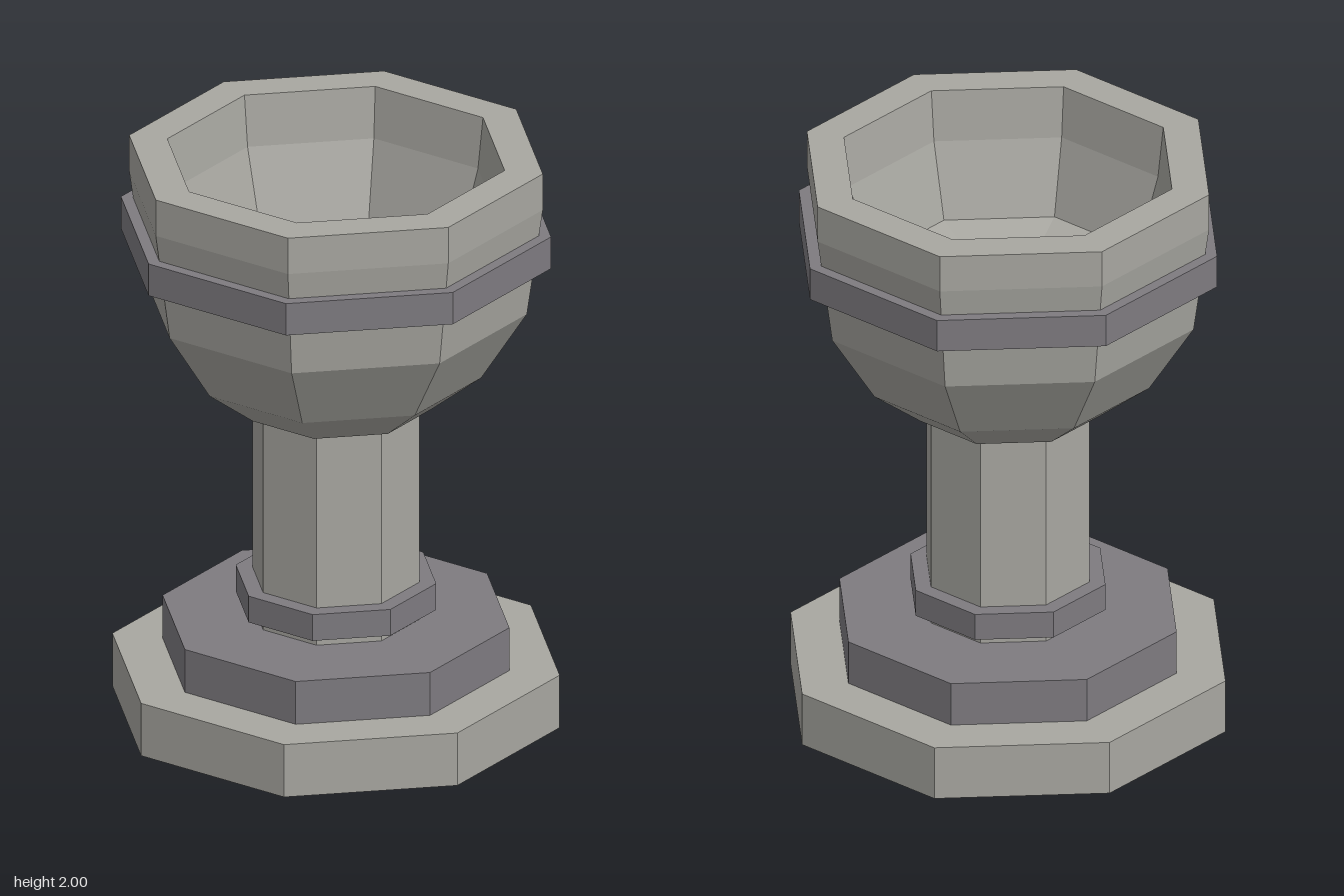
import * as THREE from 'three';

const SIDES = 8;
const TO_CORNER = 1 / Math.cos(Math.PI / SIDES); // flat-to-centre distance -> corner radius

const stone = new THREE.MeshStandardMaterial({ color: 0xa8a7a1 });
stone.name = 'paleStone';
const trim = new THREE.MeshStandardMaterial({ color: 0x7e7b80 });
trim.name = 'greyTrim';

// Faceted octagonal turning from a profile of [flat distance, height], flats facing the axes
function turned(name, material, profile) {
  const points = profile.map(([r, y]) => new THREE.Vector2(r * TO_CORNER, y));
  const geometry = new THREE.LatheGeometry(points, SIDES, Math.PI / SIDES).toNonIndexed();
  geometry.computeVertexNormals();
  const mesh = new THREE.Mesh(geometry, material);
  mesh.name = name;
  return mesh;
}

// Solid octagonal slab
const slab = (name, material, r, y0, y1) =>
  turned(name, material, [[0, y0], [r, y0], [r, y1], [0, y1]]);

export function createModel() {
  const group = new THREE.Group();
  group.name = 'goblet';

  group.add(
    // Stepped foot
    slab('base', stone, 0.703, 0, 0.19),
    slab('baseStep', trim, 0.545, 0.19, 0.345),
    // Stem with collar
    slab('stem', stone, 0.263, 0.345, 1.11),
    slab('stemCollar', trim, 0.315, 0.385, 0.48),
    // Bowl: underside, outer wall, rim, inner wall, dished floor
    turned('bowl', stone, [
      [0, 1.11], [0.3, 1.11], [0.456, 1.24], [0.6, 1.487], [0.65, 1.87], [0.65, 2],
      [0.53, 2], [0.512, 1.82], [0.443, 1.56], [0, 1.46],
    ]),
    // Hollow band around the bowl
    turned('bowlBand', trim, [
      [0.61, 1.66], [0.676, 1.66], [0.676, 1.775], [0.61, 1.775],
    ]),
  );
  return group;
}
